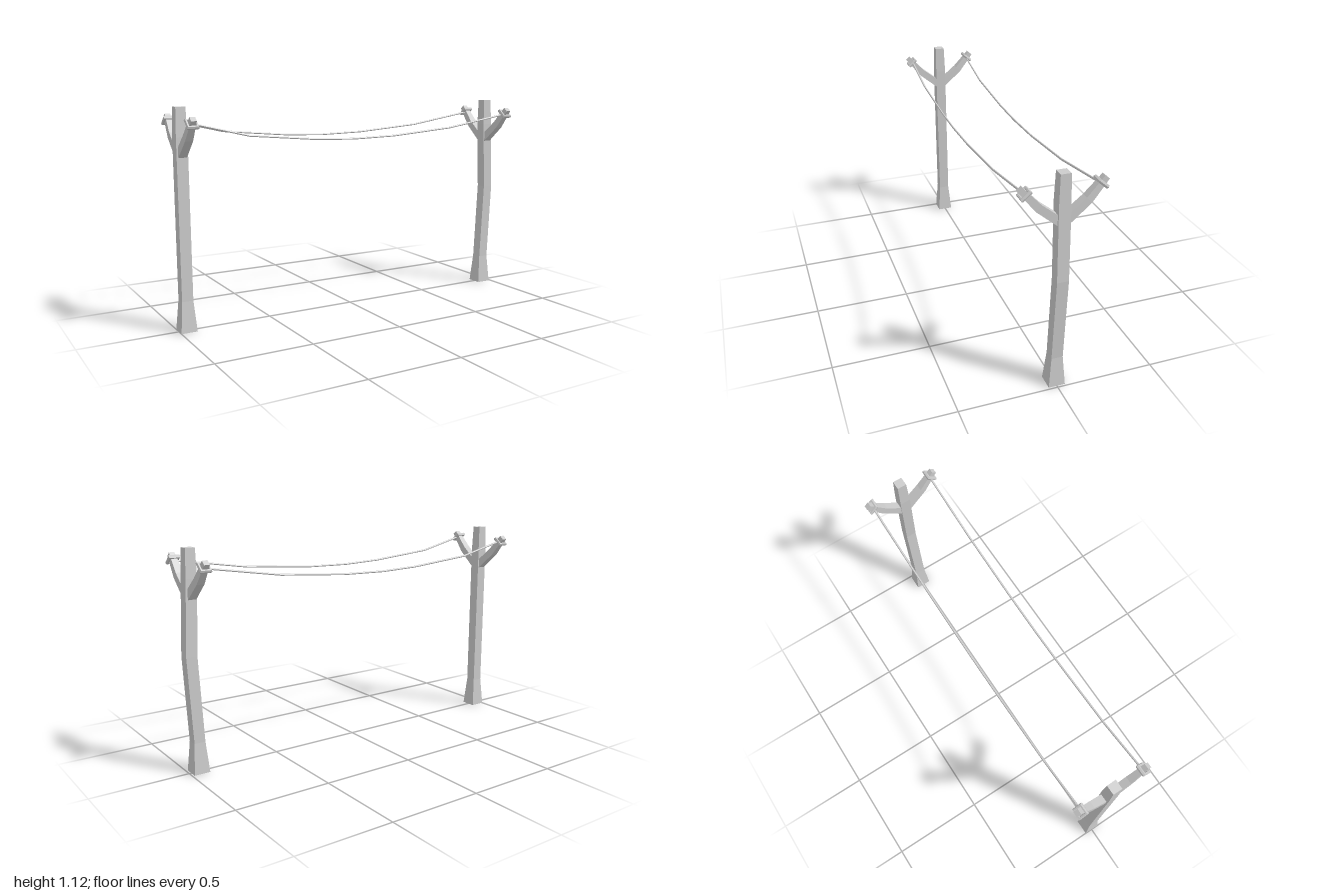
import * as THREE from 'three';

const V = (x, y, z) => new THREE.Vector3(x, y, z);
const material = new THREE.MeshStandardMaterial({ color: 0xcccccc, flatShading: true, side: THREE.DoubleSide });

// Ring of n points round centre c with half-axes u and v (u x v points along the loft).
function ring(c, u, v, n = 4) {
  const r = n === 4 ? Math.SQRT2 : 1;
  return Array.from({ length: n }, (_, i) => {
    const a = ((i + 0.5) / n) * Math.PI * 2;
    return c.clone().addScaledVector(u, r * Math.cos(a)).addScaledVector(v, r * Math.sin(a));
  });
}

// Joins rings into a faceted skin; the far end is capped.
function loft(name, rings) {
  const n = rings[0].length, index = [];
  for (let i = 0; i < rings.length - 1; i++)
    for (let j = 0; j < n; j++) {
      const a = i * n + j, b = i * n + (j + 1) % n;
      index.push(a, b, b + n, a, b + n, a + n);
    }
  const last = (rings.length - 1) * n;
  for (let j = 1; j < n - 1; j++) index.push(last, last + j, last + j + 1);
  const g = new THREE.BufferGeometry().setFromPoints(rings.flat());
  g.setIndex(index);
  g.computeVertexNormals();
  return new THREE.Mesh(g, material);
}

function part(name, rings) {
  const mesh = loft(name, rings);
  mesh.name = name;
  return mesh;
}

// Square post with flared foot, given as [x, y, half width].
function post(name, sections) {
  return part(name, sections.map(([x, y, h]) => ring(V(x, y, 0), V(0, 0, h), V(h, 0, 0))));
}

// Bent arm rising from the post towards side s (+1 front, -1 back).
function arm(x, s) {
  const path = [[0.0, 0.883, 0.022, 0.021], [0.118, 0.98, 0.02, 0.0195], [0.2, 1.075, 0.014, 0.0145]];
  const dirs = [V(0, 0.097, 0.118 * s), V(0, 0.192, 0.2 * s), V(0, 0.095, 0.082 * s)];
  return part('arm', path.map(([z, y, hx, h], i) => {
    const u = V(1, 0, 0);
    const v = dirs[i].clone().normalize().cross(u);
    return ring(V(x, y, z * s), u.multiplyScalar(hx), v.multiplyScalar(h));
  }));
}

// Square loop of rope wrapped round the arm near its tip.
function collar(x, s) {
  const g = new THREE.TorusGeometry(0.032, 0.0105, 6, 4).rotateZ(Math.PI / 4);
  const mesh = new THREE.Mesh(g, material);
  mesh.name = 'ropeLoop';
  mesh.quaternion.setFromUnitVectors(V(0, 0, 1), V(0, 0.095, 0.082 * s).normalize());
  mesh.position.set(x, 1.05, 0.178 * s);
  return mesh;
}

// Sagging line strung between the posts.
function line(s) {
  const path = [[-0.955, 1.052], [-0.67, 0.985], [-0.3, 0.953], [-0.08, 0.946],
    [0.17, 0.952], [0.55, 0.982], [0.95, 1.046]];
  return part('line', path.map(([x, y]) => ring(V(x, y, 0.174 * s), V(0, 0.0055, 0), V(0, 0, 0.0055), 6)));
}

export function createModel() {
  const group = new THREE.Group();
  group.name = 'clothesline';

  group.add(post('straightPost', [
    [-0.958, 0, 0.042], [-0.958, 0.16, 0.029], [-0.958, 0.98, 0.029], [-0.958, 1.125, 0.025]]));
  group.add(post('bentPost', [
    [0.947, 0, 0.042], [0.947, 0.16, 0.029], [0.968, 0.6, 0.029], [0.951, 0.98, 0.029], [0.949, 1.125, 0.025]]));

  for (const s of [1, -1]) {
    for (const x of [-0.957, 0.952]) group.add(arm(x, s), collar(x, s));
    group.add(line(s));
  }
  return group;
}
